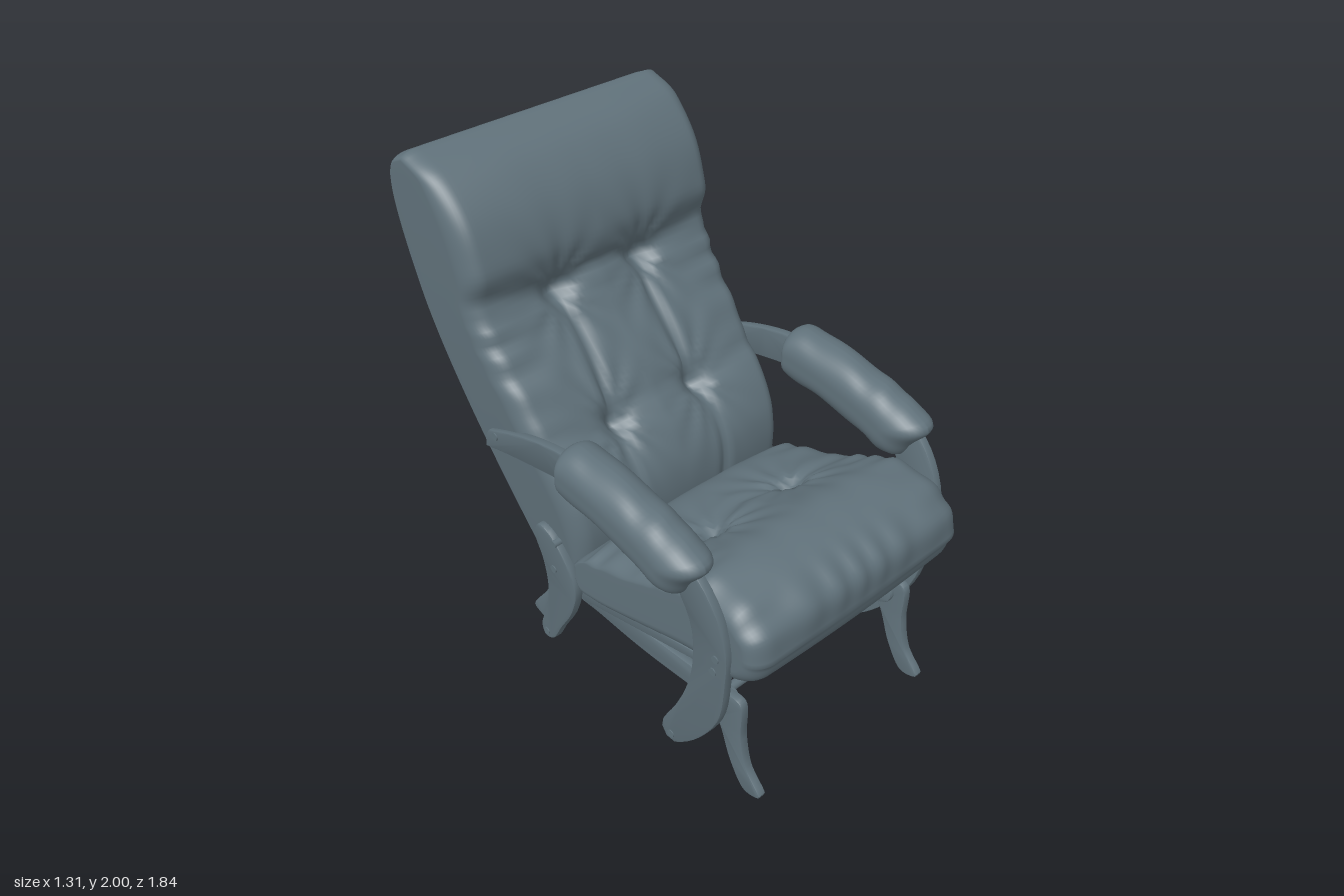
import * as THREE from 'three';
import { toCreasedNormals } from 'three/addons/utils/BufferGeometryUtils.js';

const slate = new THREE.MeshStandardMaterial({ color: 0x60717a });
slate.name = 'slate';

const curve = (pts, closed = false) =>
  new THREE.CatmullRomCurve3(pts.map(([z, y]) => new THREE.Vector3(z, y, 0)), closed, 'centripetal');

function add(group, name, geometry) {
  const mesh = new THREE.Mesh(geometry, slate);
  mesh.name = name;
  group.add(mesh);
  return mesh;
}

// Wooden board: a smooth closed (z, y) outline, cut to a thickness along x
function board(pts, thickness, xAt, smooth = true) {
  const outline = smooth ? curve(pts, true).getSpacedPoints(90).slice(0, -1) : pts.map(([z, y]) => ({ x: z, y }));
  const bevel = 0.006;
  const geo = new THREE.ExtrudeGeometry(new THREE.Shape(outline.map(p => new THREE.Vector2(p.x, p.y))), {
    depth: thickness - 2 * bevel, bevelThickness: bevel, bevelSize: bevel, bevelOffset: -bevel, bevelSegments: 2,
  });
  geo.translate(0, 0, bevel - thickness / 2);
  geo.rotateY(-Math.PI / 2);
  const p = geo.attributes.position;
  for (let i = 0; i < p.count; i++) p.setX(i, p.getX(i) + xAt(p.getY(i)));
  return toCreasedNormals(geo, 0.6);
}

// Cushion: a face curve and a return curve in (z, y), lofted along x with rounded sides.
// collapse is how far the sides draw in, bias (0..1) where they meet between face and return,
// trim how many points each end is drawn in, and dent(x, y, z, f) the depth pressed into the
// surface, with f = 0..1 along the face.
function cushion({ face, rest, n, width, round, trim, collapse, bias, dent, cols = 56 }) {
  const a = curve(face).getSpacedPoints(n), b = curve(rest).getSpacedPoints(n);
  const ring = [...a, ...b.slice(1, -1)], N = ring.length;
  const mid = ring.map((_, i) => {
    const j = Math.min(Math.max(i <= n ? i : N - i, trim[0]), n - trim[1]);
    return a[j].clone().lerp(b[n - j], bias);
  });
  // Stations across: [side of the flat part, rounding offset, collapse amount]
  const stations = [];
  for (let i = 0; i <= cols; i++) stations.push([-1 + 2 * i / cols, 0, 0]);
  const addPair = (off, k) => {
    stations.push([1, off, k]);
    stations.unshift([-1, -off, k]);
  };
  for (let i = 1; i <= 9; i++) {
    const t = i / 9 * Math.PI / 2;
    addPair(Math.sin(t) * round, (1 - Math.cos(t)) * collapse);
  }
  addPair(round, (1 + collapse) / 2);
  addPair(round, 1);

  const pos = [], index = [];
  for (const [u, off, k] of stations) {
    ring.forEach((p, i) => {
      const q = p.clone().lerp(mid[i], k);
      const x = u * (width(q.y) - round) + off;
      const t = ring[(i + 1) % N].clone().sub(ring[(i + N - 1) % N]).normalize();
      const d = dent(x, p.y, p.x, i <= n ? i / n : -1) * Math.max(0, 1 - k * 1.6);
      pos.push(x, q.y + t.x * d, q.x - t.y * d);
    });
  }
  for (let j = 0; j < stations.length - 1; j++) {
    for (let i = 0; i < N; i++) {
      const i2 = (i + 1) % N, A = j * N + i, B = A + N, C = j * N + i2, D = C + N;
      index.push(A, B, C, B, D, C);
    }
  }
  const geo = new THREE.BufferGeometry();
  geo.setAttribute('position', new THREE.Float32BufferAttribute(pos, 3));
  geo.setIndex(index);
  geo.computeVertexNormals();
  return geo;
}

const bell = (d, w) => Math.exp(-(d * d) / (w * w));

// Button hollow with folds fanning out from it
function tuft(dx, dy, depth) {
  const r = Math.hypot(dx, dy), a = Math.atan2(dy, dx);
  return depth * bell(r, 0.05) + 0.45 * depth * bell(r, 0.15)
    + 0.013 * Math.cos(a * 11 + 1) * Math.exp(-r / 0.13) * Math.min(1, r / 0.05);
}

function backDent(x, y, z, f) {
  if (f < 0) return 0;
  const ax = Math.abs(x), fade = Math.min(1, Math.sin(Math.PI * f) * 3);
  let d = tuft(ax - 0.2, y - 1.45, 0.05) + tuft(ax - 0.2, y - 1.03, 0.045);
  // Seams between the buttons
  if (y < 1.45) d += 0.018 * bell(ax - 0.2 + 0.015 * Math.sin((y - 1.03) * 7.5), 0.022) * Math.min(1, (1.45 - y) * 12);
  const arc = ax < 0.2 ? 0.04 * (1 - (ax / 0.2) ** 2) : 0.05 * Math.sin((ax - 0.2) * 5);
  d += 0.025 * bell(y - 1.45 - arc, 0.03) + 0.015 * bell(y - 1.03 - arc * 0.6, 0.03);
  d += 0.02 * (ax / 0.55) ** 3;
  // Puckers along the sides
  d += 0.009 * Math.sin(y * 48 + 3 * Math.sin(y * 9)) * Math.max(0, (ax - 0.32) / 0.2) * bell(y - 1.35, 0.3);
  return (d - 0.012) * fade;
}

function seatDent(x, y, z, f) {
  const ax = Math.abs(x);
  if (f < 0) return 0.01 * (ax / 0.5) ** 2;
  const fade = Math.min(1, Math.sin(Math.PI * f) * 3);
  let d = tuft(ax - 0.2, z - 0.35, 0.045);
  d += 0.015 * bell(z - 0.33 + 0.04 * Math.cos(ax * 8), 0.03);
  d += 0.035 * (ax / 0.53) ** 3 - 0.01;
  d += 0.009 * Math.sin(z * 55 + 2 * Math.sin(z * 13)) * Math.max(0, (ax - 0.33) / 0.2);
  // Gathered pleats over the front roll
  d += 0.006 * Math.sin(x * 42 + 3 * Math.sin(x * 7)) * bell(z - 0.9, 0.08);
  return d * fade;
}

const padDent = (x, y, z) => 0.006 * Math.sin(z * 38 + x * 14 + 2 * Math.sin(z * 11)) * bell(z - 0.35, 0.25);

export function createModel() {
  const chair = new THREE.Group();
  chair.name = 'gliderChair';

  add(chair, 'backCushion', cushion({
    face: [[-0.06, 0.41], [-0.01, 0.55], [0, 0.74], [-0.04, 0.88], [-0.25, 1.16], [-0.42, 1.38], [-0.465, 1.5],
      [-0.46, 1.64], [-0.52, 1.81], [-0.65, 1.95], [-0.8, 2.0]],
    rest: [[-0.8, 2.0], [-0.89, 1.95], [-0.92, 1.83], [-0.84, 1.5], [-0.585, 0.98], [-0.23, 0.45], [-0.16, 0.41], [-0.06, 0.41]],
    n: 76, trim: [6, 7], round: 0.07, collapse: 0.33, bias: 0.74,
    width: y => 0.585 - 0.032 * (2 - y) ** 2, dent: backDent,
  }));

  add(chair, 'seatCushion', cushion({
    face: [[0.92, 0.73], [0.9, 0.85], [0.79, 0.93], [0.63, 0.95], [0.45, 0.87], [0.24, 0.775], [0.05, 0.7], [-0.04, 0.6]],
    rest: [[-0.04, 0.6], [-0.03, 0.44], [0.05, 0.435], [0.62, 0.565], [0.8, 0.58], [0.89, 0.64], [0.92, 0.73]],
    n: 64, trim: [14, 5], round: 0.09, collapse: 0.45, bias: 0.5, width: () => 0.535, dent: seatDent,
  }));

  // Board under the seat
  add(chair, 'seatBase', board([[0.7, 0.6], [0.66, 0.55], [-0.03, 0.395], [-0.07, 0.44]], 1.0, () => 0, false));

  const lean = y => 0.5 + 0.0565 * y;
  for (const side of [1, -1]) {
    const half = new THREE.Group();
    half.name = side > 0 ? 'leftSide' : 'rightSide';
    chair.add(half);

    // Arm sweeping forward and down into the front leg
    add(half, 'armAndFrontLeg', board([[-0.485, 0.915], [-0.43, 0.93], [-0.18, 0.985], [0.03, 1.02], [0.25, 1.03], [0.45, 1.0],
      [0.56, 0.92], [0.63, 0.78], [0.63, 0.6], [0.59, 0.44], [0.52, 0.28], [0.44, 0.13], [0.44, 0.08], [0.48, 0.05],
      [0.53, 0.08], [0.64, 0.2], [0.75, 0.39], [0.79, 0.6], [0.8, 0.76], [0.75, 0.92], [0.66, 1.03], [0.5, 1.1],
      [0.3, 1.14], [0.03, 1.15], [-0.18, 1.11], [-0.42, 1.02], [-0.465, 0.995]], 0.036, y => side * lean(y)));

    add(half, 'rearSupport', board([[-0.21, 0.695], [-0.15, 0.685], [-0.07, 0.6], [-0.02, 0.47], [-0.06, 0.33], [-0.15, 0.18],
      [-0.22, 0.07], [-0.27, 0.055], [-0.285, 0.105], [-0.23, 0.25], [-0.2, 0.39], [-0.21, 0.52], [-0.24, 0.62]],
    0.036, y => side * lean(y)));

    // Padded sleeve on the arm
    const pad = add(half, 'armPad', cushion({
      face: [[0.64, 0.97], [0.7, 1.06], [0.59, 1.12], [0.35, 1.185], [0.05, 1.21], [0.025, 1.18], [0.02, 1.1]],
      rest: [[0.02, 1.1], [0.03, 1.01], [0.24, 0.975], [0.4, 0.94], [0.55, 0.895], [0.6, 0.91], [0.64, 0.97]],
      n: 44, trim: [12, 7], round: 0.094, collapse: 0.8, bias: 0.5, width: () => 0.097, dent: padDent, cols: 2,
    }));
    pad.position.x = side * 0.557;

    // Glider base: two splayed feet and a rail
    const at = x => () => side * x;
    add(half, 'frontFoot', board([[0.77, 0.42], [0.78, 0.25], [0.81, 0.12], [0.88, 0.025], [0.86, 0.01], [0.8, 0.005], [0.73, 0.1],
      [0.68, 0.23], [0.62, 0.36], [0.63, 0.41], [0.7, 0.425]], 0.036, at(0.438)));
    add(half, 'rearFoot', board([[-0.26, 0.41], [-0.3, 0.31], [-0.37, 0.17], [-0.465, 0.03], [-0.45, 0.015], [-0.37, 0.005],
      [-0.27, 0.12], [-0.22, 0.22], [-0.12, 0.3], [-0.1, 0.39], [-0.15, 0.435], [-0.22, 0.435]], 0.036, at(0.41)));
    add(half, 'baseRail', board([[0.7, 0.41], [0.59, 0.4], [0.24, 0.385], [-0.02, 0.395], [-0.18, 0.41], [-0.22, 0.36], [-0.18, 0.3],
      [-0.02, 0.29], [0.24, 0.28], [0.55, 0.295], [0.7, 0.31], [0.73, 0.36]], 0.034, at(0.418)));

    // Bolt heads
    for (const [z, y] of [[0.75, 0.7], [0.735, 0.63], [-0.14, 0.51], [-0.12, 0.65], [-0.41, 1.0], [0.49, 0.1], [-0.25, 0.095]]) {
      const bolt = add(half, 'bolt', new THREE.CylinderGeometry(0.016, 0.016, 0.046, 14));
      bolt.rotation.z = Math.PI / 2;
      bolt.position.set(side * lean(y), y, z);
    }
  }

  // Cross bars tying the two sides together
  for (const [name, length, y, z] of [['rearCrossBar', 0.82, 0.35, -0.18], ['legCrossBar', 1.02, 0.245, 0.57]]) {
    const bar = add(chair, name, new THREE.CylinderGeometry(0.019, 0.019, length, 16));
    bar.rotation.z = Math.PI / 2;
    bar.position.set(0, y, z);
  }
  return chair;
}
